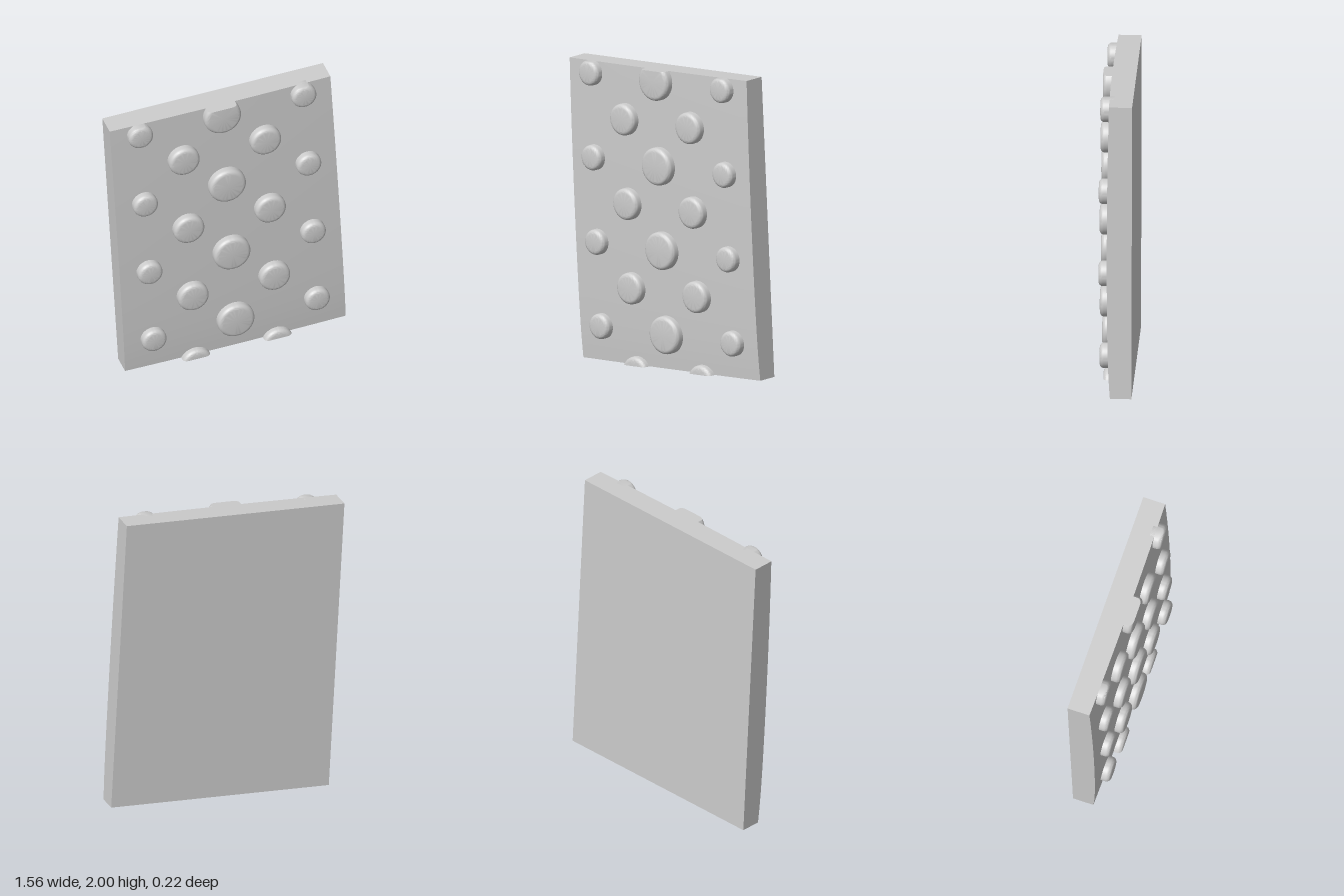
import * as THREE from 'three';
import { toCreasedNormals } from 'three/addons/utils/BufferGeometryUtils.js';

const HALF_W = 0.731, HALF_H = 0.961, BACK = -0.11;
const material = new THREE.MeshStandardMaterial({ color: 0xcccccc });

// Gently domed front face, falling off a little more at the foot
function surfaceZ(u, v) {
  const a = u / HALF_W, b = v / HALF_H;
  return 0.055 - 0.008 * a * a - 0.012 * b * b - (b < 0 ? 0.01 * b ** 6 : 0);
}

function slabGeometry() {
  const geo = new THREE.BoxGeometry(HALF_W * 2, HALF_H * 2, 1, 20, 28, 1);
  const p = geo.attributes.position;
  for (let i = 0; i < p.count; i++) {
    p.setZ(i, p.getZ(i) > 0 ? surfaceZ(p.getX(i), p.getY(i)) : BACK);
  }
  return toCreasedNormals(geo, 0.6);
}

// Round button with a filleted rim, cut flat at local y = edge
function studGeometry(radius, edge) {
  const height = 0.055, fillet = 0.028, n = 47;
  const profile = [new THREE.Vector2(radius, -0.03)];
  for (let i = 0; i <= 6; i++) {
    const a = (i / 6) * Math.PI / 2;
    profile.push(new THREE.Vector2(
      radius - fillet + fillet * Math.cos(a), height - fillet + fillet * Math.sin(a)));
  }
  profile.push(new THREE.Vector2(0, height));

  // The last lathe segment closes each shortened arc with the flat cut face
  const geo = new THREE.LatheGeometry(profile, n + 1);
  const p = geo.attributes.position;
  for (let i = 0; i < p.count; i++) {
    const column = Math.floor(i / profile.length) % (n + 1);
    const { x: r, y: h } = profile[i % profile.length];
    const span = r > 0 ? Math.acos(THREE.MathUtils.clamp(-edge / r, -1, 1)) : 0;
    const t = -span + 2 * span * column / n;
    p.setXYZ(i, r * Math.sin(t), Math.min(-r * Math.cos(t), edge), h);
  }
  return toCreasedNormals(geo, 0.7);
}

export function createModel() {
  const model = new THREE.Group();
  model.name = 'studdedPanel';

  const panel = new THREE.Group();
  panel.name = 'panel';
  panel.position.y = 1;
  panel.rotation.z = 0.0547;
  model.add(panel);

  const slab = new THREE.Mesh(slabGeometry(), material);
  slab.name = 'slab';
  panel.add(slab);

  function addStud(name, u, v, radius) {
    const stud = new THREE.Mesh(studGeometry(radius, HALF_H - Math.abs(v)), material);
    stud.name = name;
    stud.position.set(u, v, surfaceZ(u, v));
    if (v < 0) stud.rotation.z = Math.PI; // cut side faces the nearer edge
    panel.add(stud);
  }

  // Four staggered rows: large and small studs, then a medium pair below
  for (let row = 0; row < 4; row++) {
    const v = 0.887 - row * 0.541;
    addStud('largeStud', 0, v, 0.121);
    for (const side of [-1, 1]) {
      addStud('smallStud', side * 0.541, v, 0.081);
      addStud('mediumStud', side * 0.27, v - 0.269, 0.101);
    }
  }
  return model;
}
